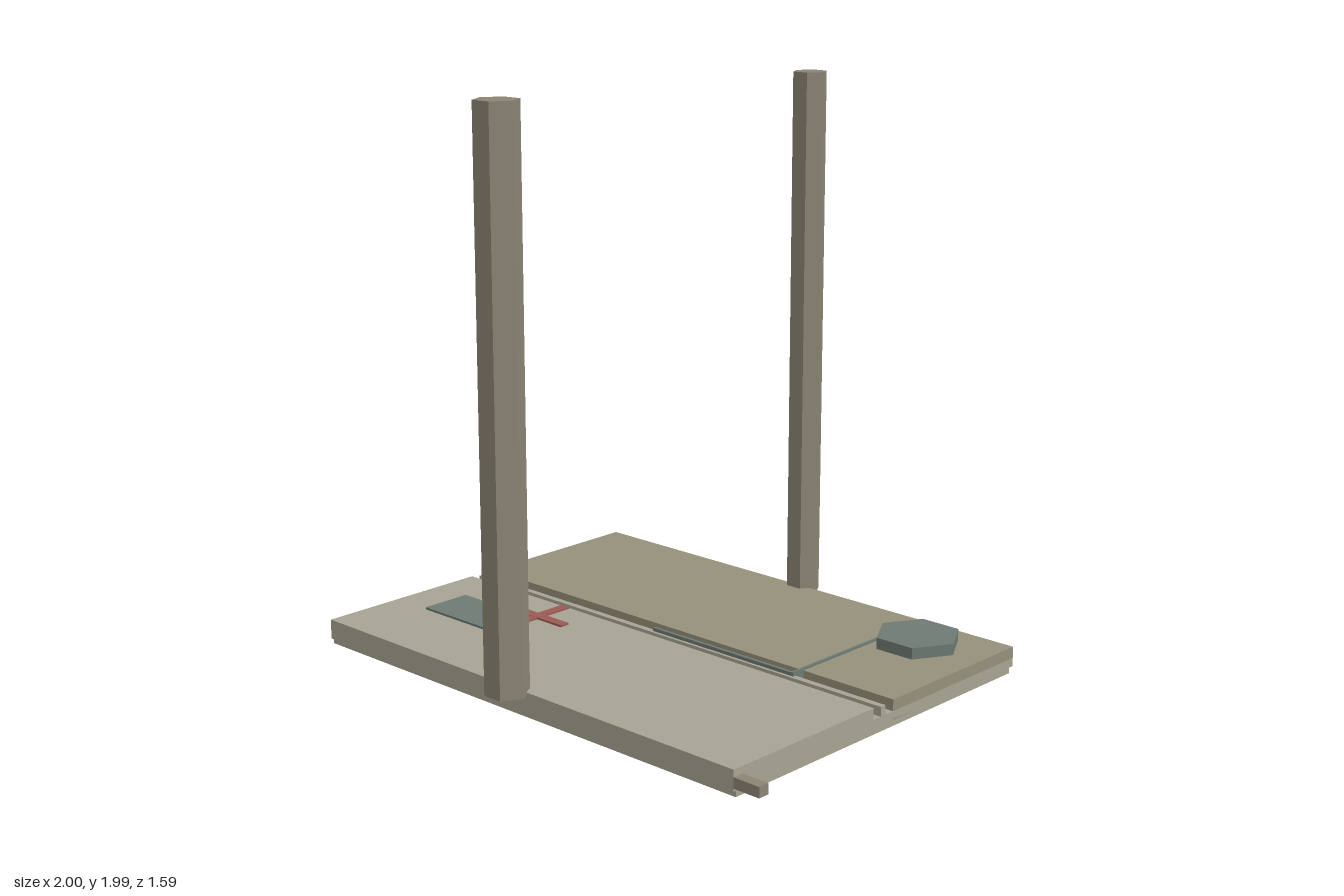
import * as THREE from 'three';

const mat = (color) => new THREE.MeshStandardMaterial({ color, flatShading: true });

export function createModel() {
  const model = new THREE.Group();
  const light = mat(0xa8a494), tan = mat(0x95907b), post = mat(0x8c8575);
  const teal = mat(0x6e7a74), red = mat(0x9a5a55);

  // box given by its limits on each axis
  const box = (name, material, [x0, x1], [y0, y1], [z0, z1]) => {
    const mesh = new THREE.Mesh(new THREE.BoxGeometry(x1 - x0, y1 - y0, z1 - z0), material);
    mesh.position.set((x0 + x1) / 2, (y0 + y1) / 2, (z0 + z1) / 2);
    mesh.name = name;
    model.add(mesh);
  };
  // upright six-sided prism with corners pointing along x
  const hexPrism = (name, material, radius, x, z, y0, y1) => {
    const geometry = new THREE.CylinderGeometry(radius, radius, y1 - y0, 6);
    geometry.rotateY(Math.PI / 6);
    const mesh = new THREE.Mesh(geometry, material);
    mesh.position.set(x, (y0 + y1) / 2, z);
    mesh.name = name;
    model.add(mesh);
  };

  // stacked plates; the upper ones leave a channel on each side of a rib
  const width = [-1, 0.9];
  box('basePlate', light, width, [0, 0.02], [-0.7, 0.69]);
  box('middlePlate', light, width, [0.02, 0.05], [-0.715, 0.7]);
  box('frontSlab', light, width, [0.05, 0.09], [0.04, 0.7]);
  box('rearSlab', tan, width, [0.02, 0.09], [-0.72, -0.06]);
  box('centreRib', light, width, [0.05, 0.083], [-0.02, 0.003]);
  box('sidePeg', post, [0.88, 1], [0.03, 0.066], [0.66, 0.7]);

  // tall posts at the front and rear edges
  hexPrism('frontPost', post, 0.075, -0.05, 0.73, 0.08, 1.985);
  hexPrism('rearPost', post, 0.062, -0.05, -0.742, 0.07, 1.97);

  // six-sided pad and the thin track leading from it
  hexPrism('hexPad', teal, 0.15, 0.65, -0.515, 0.085, 0.13);
  box('crossTrack', teal, [0.517, 0.527], [0.05, 0.097], [-0.515, -0.01]);
  box('ribTrack', teal, [-0.11, 0.527], [0.075, 0.095], [-0.02, -0.008]);

  // flat markers on the front slab
  box('flatPanel', teal, [-0.84, -0.525], [0.085, 0.098], [0.213, 0.4]);
  box('crossBarWide', red, [-0.63, -0.355], [0.085, 0.097], [0.163, 0.2]);
  box('crossBarLong', red, [-0.513, -0.475], [0.085, 0.096], [0.045, 0.32]);

  return model;
}
